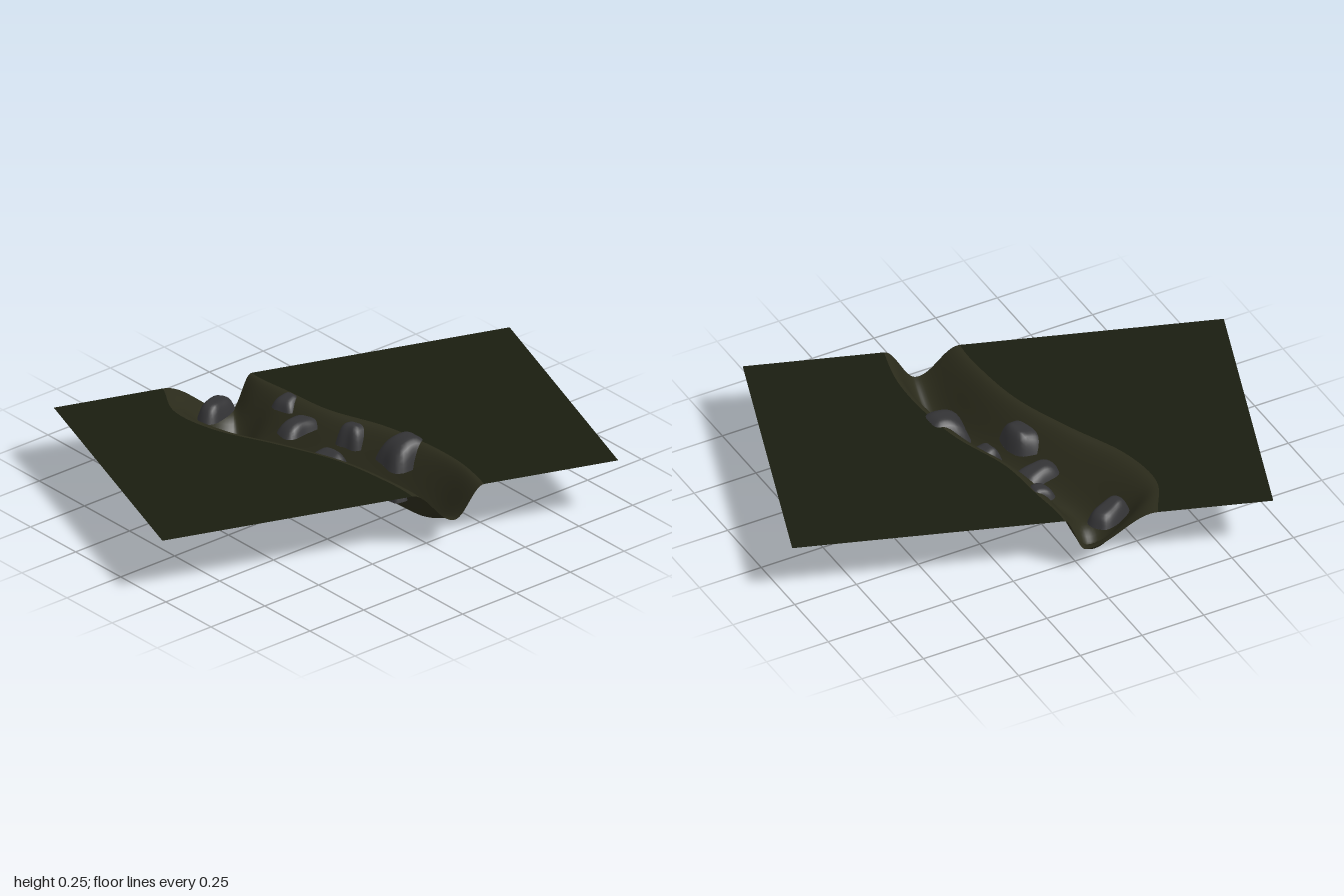
import * as THREE from 'three';
import { mergeVertices, toCreasedNormals } from 'three/addons/utils/BufferGeometryUtils.js';

const TOP = 0.243, HALF_W = 0.868, HALF_D = 0.545, TILT = 0.335, ROWS = 72;

const mat = (color, side = THREE.FrontSide) => new THREE.MeshStandardMaterial({ color, side });

// Smooth curve through evenly spaced pairs along the stream
const spline = (a, b) => new THREE.SplineCurve(a.map((v, i) => new THREE.Vector2(v, b[i])));

// Left and right bank lines, then stream centre and its floor height (back to front)
const banks = spline(
  [-0.453, -0.476, -0.392, -0.225, -0.075, 0.021, 0.084],
  [-0.115, -0.04, 0.043, 0.182, 0.276, 0.338, 0.358]);
const floor = spline(
  [-0.19, -0.235, -0.135, 0, 0.12, 0.21, 0.243],
  [0.11, 0.052, 0.055, 0.066, 0.06, 0.052, 0.12]);

// Sheet swept from back to front; point(t, k) gives [across, height]
function sheet(name, cols, color, point) {
  const pos = [], index = [];
  for (let r = 0; r <= ROWS; r++) {
    const t = r / ROWS;
    for (let c = 0; c <= cols; c++) {
      const [u, y] = point(t, c / cols);
      pos.push(u, y, (t * 2 - 1) * HALF_D);
      if (r < ROWS && c < cols) {
        const a = r * (cols + 1) + c, b = a + cols + 1;
        index.push(a, b, a + 1, a + 1, b, b + 1);
      }
    }
  }
  const g = new THREE.BufferGeometry();
  g.setAttribute('position', new THREE.Float32BufferAttribute(pos, 3));
  g.setIndex(index);
  g.computeVertexNormals();
  const mesh = new THREE.Mesh(g, mat(color, THREE.DoubleSide));
  mesh.name = name;
  return mesh;
}

// Stream bed: cosine cross-section with a deep pool near the back
function bedPoint(t, k) {
  const bank = banks.getPoint(t), mid = floor.getPoint(t);
  const w = k * 2 - 1, v = (t * 2 - 1) * HALF_D;
  const low = Math.max(0, mid.y - 0.058 * Math.exp(-(((v + 0.41) / 0.055) ** 2)));
  const u = THREE.MathUtils.lerp(mid.x, w < 0 ? bank.x : bank.y, Math.abs(w));
  return [u, TOP - (TOP - low) * 0.5 * (1 + Math.cos(Math.PI * w))];
}

// Boulder: rounded block with a flat base, tapered top and gentle lumps
function boulder(seed) {
  let g = new THREE.IcosahedronGeometry(1, 6);
  g.deleteAttribute('normal');
  g.deleteAttribute('uv');
  g = mergeVertices(g);
  const p = g.attributes.position, d = new THREE.Vector3();
  for (let i = 0; i < p.count; i++) {
    d.fromBufferAttribute(p, i);
    const n = (d.x ** 4 + d.y ** 4 + d.z ** 4) ** -0.25;
    const lump = 1 + 0.07 * Math.sin(3 * d.x + seed) + 0.06 * Math.sin(4 * d.z + seed * 2.3);
    d.multiplyScalar(n);
    const y = Math.max(d.y, 0), taper = (1.02 - 0.32 * y) * lump;
    p.setXYZ(i, d.x * taper, y * (1 - 0.1 * Math.sin(seed + d.x * 2)), d.z * taper);
  }
  return toCreasedNormals(g, 0.7);
}

export function createModel() {
  const model = new THREE.Group();
  model.name = 'streamTerrain';

  // Land and stream bed share one turned frame
  const land = new THREE.Group();
  land.name = 'land';
  land.rotation.y = -TILT;
  land.add(
    sheet('leftGround', 2, 0x1a1d10, (t, k) =>
      [THREE.MathUtils.lerp(-HALF_W, banks.getPoint(t).x, k), TOP]),
    sheet('rightGround', 2, 0x1a1d10, (t, k) =>
      [THREE.MathUtils.lerp(banks.getPoint(t).y, HALF_W, k), TOP]),
    sheet('streamBed', 36, 0x2b2b1b, bedPoint));
  model.add(land);

  // Boulders: x, base y, z, half width, height, half depth, turn
  const rocks = [
    [-0.135, 0.165, -0.51, 0.087, 0.058, 0.05, 0.4],
    [-0.325, 0.18, -0.32, 0.075, 0.043, 0.05, 0.15],
    [0.055, 0.203, -0.33, 0.045, 0.042, 0.047, 0.1],
    [-0.01, 0.185, -0.2, 0.08, 0.04, 0.052, 0.15],
    [0.12, 0.16, -0.03, 0.07, 0.082, 0.055, 0.15],
    [-0.08, 0.14, 0.05, 0.065, 0.075, 0.088, 0.12],
    [0.165, 0.16, 0.19, 0.088, 0.09, 0.08, -0.1],
    [-0.072, 0.175, 0.42, 0.03, 0.045, 0.032, 0],
  ];
  const stone = mat(0x333335);
  rocks.forEach(([x, y, z, w, h, d, turn], i) => {
    const rock = new THREE.Mesh(boulder(i * 1.7 + 0.5), stone);
    rock.name = `boulder${i + 1}`;
    rock.position.set(x, y, z);
    rock.scale.set(w, h, d);
    rock.rotation.y = turn;
    model.add(rock);
  });
  return model;
}
